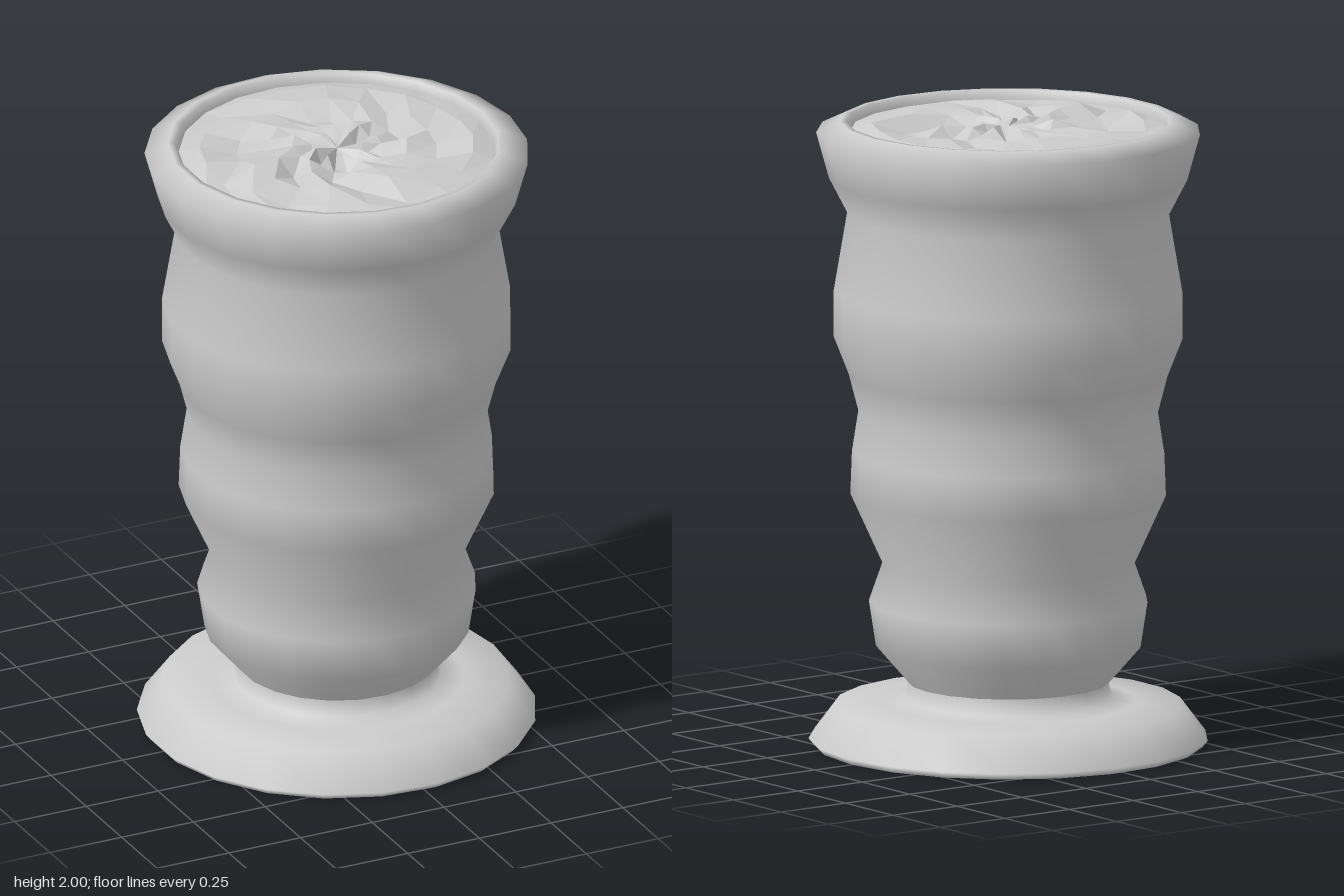
import * as THREE from 'three';

const SIDES = 21;

// Lathe with one corner pointing along +x
function lathe(points) {
  return new THREE.LatheGeometry(points.map(([r, y]) => new THREE.Vector2(r, y)), SIDES, Math.PI / 2);
}

// Small seeded generator returning values from -1 to 1
function makeNoise(seed) {
  let s = seed;
  return () => {
    s = (s * 16807) % 2147483647;
    return (s / 2147483647) * 2 - 1;
  };
}

export function createModel() {
  const group = new THREE.Group();
  group.name = 'milkshakeGlass';

  const smooth = new THREE.MeshStandardMaterial({ color: 0xcccccc, side: THREE.DoubleSide });
  const faceted = new THREE.MeshStandardMaterial({ color: 0xcccccc, flatShading: true, side: THREE.DoubleSide });

  // Hollow foot, from the underside out and up to the stem
  const foot = new THREE.Mesh(lathe([
    [0, 0.11], [0.3, 0.105], [0.5, 0.09], [0.6, 0.01], [0.61, 0.002],
    [0.626, 0.022], [0.545, 0.13], [0.4, 0.137], [0.325, 0.15], [0.315, 0.2],
  ]), smooth);
  foot.name = 'foot';

  // Rippled glass wall, over the rim and down inside
  const wall = new THREE.Mesh(lathe([
    [0.325, 0.15], [0.315, 0.2], [0.415, 0.315], [0.437, 0.46], [0.395, 0.58],
    [0.495, 0.8], [0.49, 0.935], [0.47, 1.065], [0.5, 1.18], [0.547, 1.3],
    [0.547, 1.447], [0.505, 1.695], [0.562, 1.805], [0.602, 1.95],
    [0.528, 1.985], [0.507, 1.983], [0.497, 1.95], [0.47, 1.75],
  ]), smooth);
  wall.name = 'glassWall';

  // Lumpy drink surface: rings from the edge to the middle, shifted by noise
  const rings = [
    [0.495, 1.955], [0.43, 1.962], [0.315, 1.968], [0.22, 1.968],
    [0.14, 1.965], [0.08, 1.962], [0, 1.965],
  ];
  const foamGeometry = lathe(rings);
  const pos = foamGeometry.attributes.position;
  const noise = makeNoise(4217);
  const shifts = Array.from({ length: SIDES * rings.length }, noise);
  for (let i = 0; i <= SIDES; i++) {
    for (let j = 1; j < rings.length - 1; j++) {
      const k = i * rings.length + j;
      const n = shifts[(i % SIDES) * rings.length + j];
      pos.setY(k, pos.getY(k) + n * (j === 1 ? 0.018 : 0.03));
    }
  }
  const foam = new THREE.Mesh(foamGeometry, faceted);
  foam.name = 'foam';

  group.add(foot, wall, foam);
  group.position.x = -0.0035;
  return group;
}
